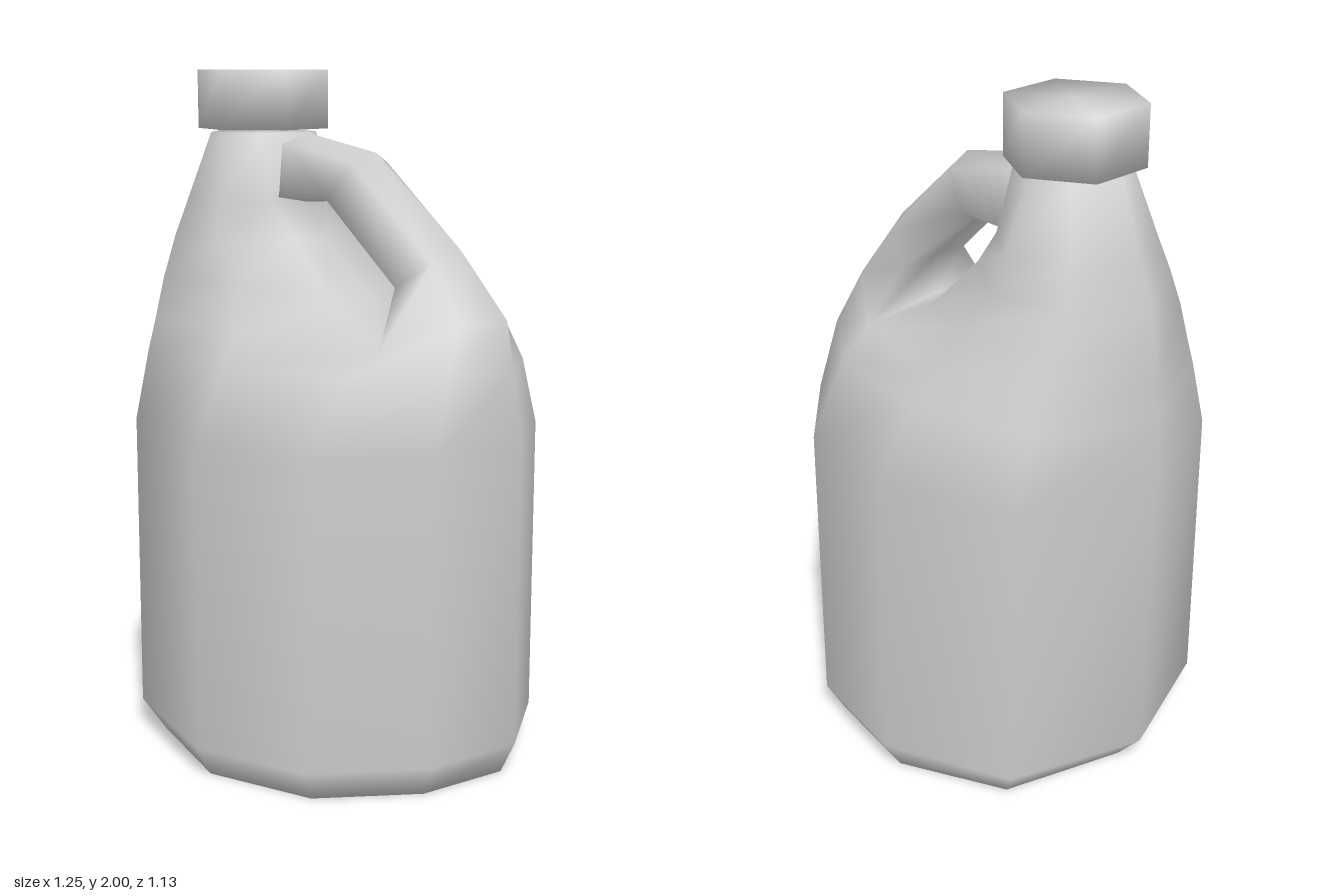
import * as THREE from 'three';
import { mergeVertices } from 'three/addons/utils/BufferGeometryUtils.js';

// Closed ring from its +z half; the first and last points lie on z = 0.
const ring = (half) => [
  ...half,
  ...half.slice(1, -1).reverse().map(([x, y, z]) => [x, y, -z]),
];

// Flat half ring from [x, z] pairs.
const level = (y, pts) => ring(pts.map(([x, z]) => [x, y, z]));

// Adds the triangles that join successive rings.
function loft(out, rings) {
  for (let r = 0; r < rings.length - 1; r++) {
    const a = rings[r], b = rings[r + 1], n = a.length;
    for (let i = 0; i < n; i++) {
      const j = (i + 1) % n;
      out.push(a[i], b[i], a[j], a[j], b[i], b[j]);
    }
  }
}

// Closes a ring with a fan.
function close(out, r, centre, up) {
  r.forEach((p, i) => {
    const q = r[(i + 1) % r.length];
    out.push(centre, up ? q : p, up ? p : q);
  });
}

// Welds shared corners so the shading is smooth across them.
function smooth(points) {
  let g = new THREE.BufferGeometry();
  g.setAttribute('position', new THREE.Float32BufferAttribute(points.flat(), 3));
  g = mergeVertices(g, 1e-4);
  g.computeVertexNormals();
  return g;
}

export function createModel() {
  const group = new THREE.Group();
  const material = new THREE.MeshStandardMaterial({ color: 0xcccccc, side: THREE.DoubleSide });
  const add = (name, geometry) => {
    const mesh = new THREE.Mesh(geometry, material);
    mesh.name = name;
    group.add(mesh);
    return mesh;
  };
  const tris = [];

  // Lower body, ten-sided, up to where the handle parts from the shoulder
  const base = level(0, [[0.575, 0], [0.47, 0.25], [0.23, 0.46], [-0.1, 0.51], [-0.41, 0.36], [-0.53, 0]]);
  const split = [
    [0.56, 1.33, 0], [0.48, 1.33, 0.11], [0.3, 1.25, 0.24],
    [-0.1, 1.27, 0.37], [-0.46, 1.27, 0.31], [-0.605, 1.3, 0],
  ];
  loft(tris, [
    base,
    level(0.1, [[0.62, 0], [0.51, 0.28], [0.25, 0.51], [-0.1, 0.565], [-0.47, 0.4], [-0.615, 0]]),
    level(0.99, [[0.615, 0], [0.51, 0.27], [0.25, 0.5], [-0.1, 0.55], [-0.47, 0.39], [-0.625, 0]]),
    level(1.19, [[0.585, 0], [0.5, 0.2], [0.27, 0.36], [-0.1, 0.425], [-0.46, 0.34], [-0.615, 0]]),
    ring(split),
  ]);
  close(tris, base, [0, 0, 0], false);

  // Shoulder and neck, starting from the crotch under the handle
  const crotch = [0.27, 1.29, 0];
  const mouth = level(1.82, [[-0.12, 0], [-0.19, 0.13], [-0.29, 0.17], [-0.39, 0.12], [-0.46, 0]]);
  loft(tris, [
    ring([crotch, ...split.slice(2)]),
    ring([[0.1, 1.36, 0], [0.08, 1.37, 0.17], [-0.16, 1.4, 0.295], [-0.46, 1.4, 0.265], [-0.595, 1.4, 0]]),
    ring([[-0.06, 1.52, 0], [-0.07, 1.53, 0.14], [-0.25, 1.52, 0.265], [-0.46, 1.52, 0.21], [-0.575, 1.5, 0]]),
    ring([[-0.13, 1.62, 0], [-0.14, 1.63, 0.14], [-0.27, 1.63, 0.235], [-0.44, 1.63, 0.17], [-0.53, 1.63, 0]]),
    mouth,
  ]);
  close(tris, mouth, [-0.29, 1.82, 0], true);

  // Six-sided handle, rising from the body and running into the neck
  loft(tris, [
    ring([...split.slice(0, 3), crotch]),
    ring([[0.41, 1.51, 0], [0.37, 1.48, 0.09], [0.27, 1.41, 0.12], [0.26, 1.42, 0]]),
    ring([[0.12, 1.77, 0], [0.1, 1.74, 0.085], [0.03, 1.64, 0.115], [0.02, 1.63, 0]]),
    ring([[-0.12, 1.82, 0], [-0.12, 1.79, 0.085], [-0.12, 1.64, 0.125], [-0.12, 1.62, 0]]),
    ring([[-0.22, 1.815, 0], [-0.22, 1.79, 0.07], [-0.22, 1.64, 0.1], [-0.22, 1.62, 0]]),
  ]);
  add('bodyAndHandle', smooth(tris));

  // Hexagonal cap
  const hex = (y) => Array.from({ length: 6 }, (_, i) => {
    const a = Math.PI / 6 + (i * Math.PI) / 3;
    return [-0.29 + 0.195 * Math.cos(a), y, 0.195 * Math.sin(a)];
  });
  const cap = [], low = hex(1.83), high = hex(2);
  loft(cap, [low, high]);
  close(cap, high, [-0.29, 2, 0], true);
  close(cap, low, [-0.29, 1.83, 0], false);
  add('cap', smooth(cap));

  return group;
}
